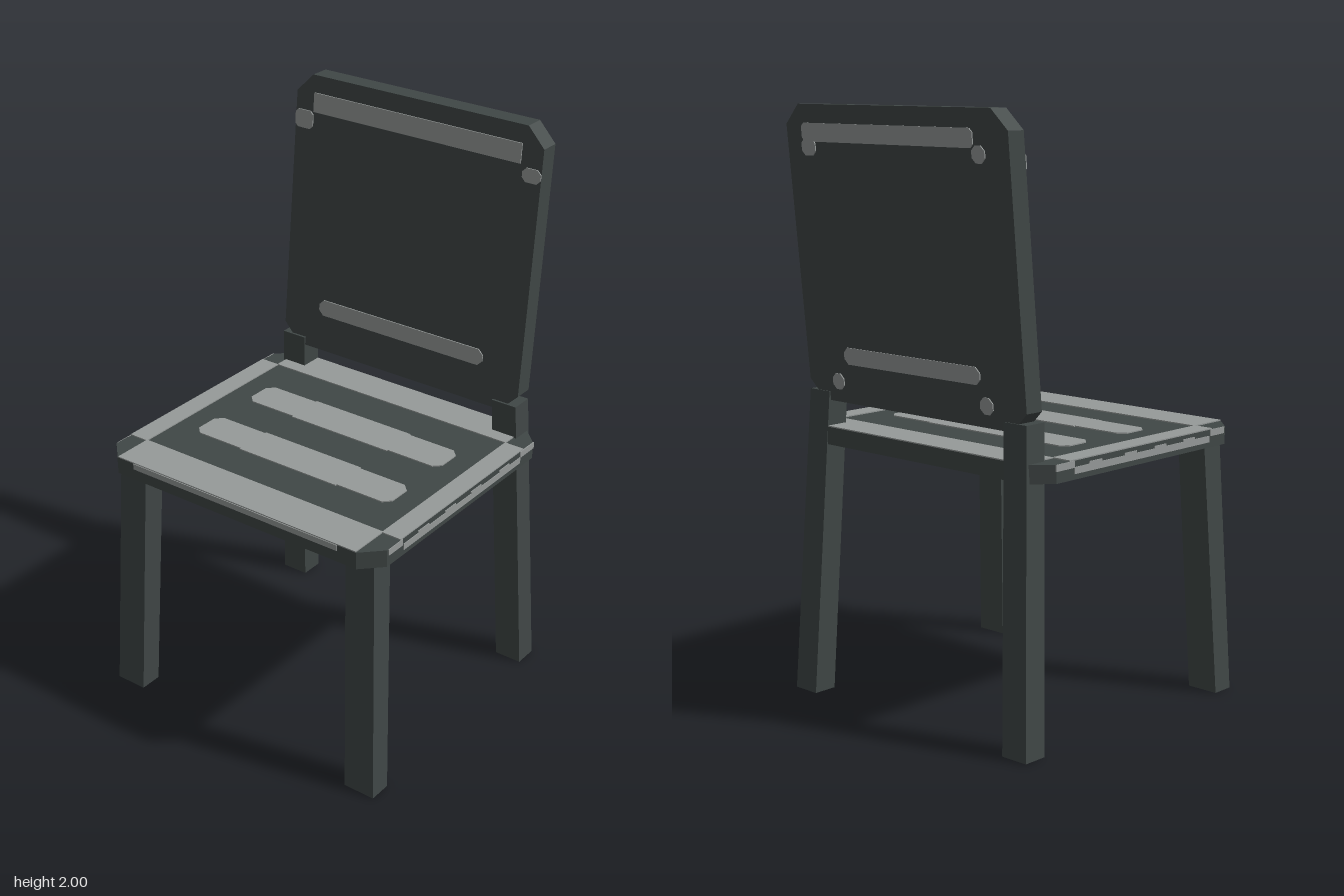
import * as THREE from 'three';

const charcoal = new THREE.MeshStandardMaterial({ color: 0x404746 });
charcoal.name = 'charcoal';
const paleGrey = new THREE.MeshStandardMaterial({ color: 0x969a99 });
paleGrey.name = 'pale grey';

const PLATE = 0.004;
const SEAT_TOP = 0.93, SEAT_BOTTOM = 0.87;

// Rectangle with its four corners cut off at 45 degrees, extruded along +z
function cutSlab(x0, y0, x1, y1, cut, depth) {
  const p = cut > 0
    ? [[x0 + cut, y0], [x1 - cut, y0], [x1, y0 + cut], [x1, y1 - cut],
       [x1 - cut, y1], [x0 + cut, y1], [x0, y1 - cut], [x0, y0 + cut]]
    : [[x0, y0], [x1, y0], [x1, y1], [x0, y1]];
  const shape = new THREE.Shape(p.map(([x, y]) => new THREE.Vector2(x, y)));
  return new THREE.ExtrudeGeometry(shape, { depth, bevelEnabled: false });
}

function add(parent, name, geometry, material) {
  const mesh = new THREE.Mesh(geometry, material);
  mesh.name = name;
  parent.add(mesh);
  return mesh;
}

// Slanted square post running between two horizontal rectangles [x0, x1, z0, z1]
function post(bottom, top, y0, y1, side) {
  const g = new THREE.BoxGeometry(1, 1, 1);
  const pos = g.attributes.position;
  for (let i = 0; i < pos.count; i++) {
    const r = pos.getY(i) > 0 ? top : bottom;
    const outer = pos.getX(i) * side > 0;
    pos.setXYZ(i, side * (outer ? r[1] : r[0]), pos.getY(i) > 0 ? y1 : y0, pos.getZ(i) > 0 ? r[3] : r[2]);
  }
  g.computeVertexNormals();
  return g;
}

function makeLegs() {
  const legs = new THREE.Group();
  legs.name = 'legs';
  for (const [side, label] of [[1, 'left'], [-1, 'right']]) {
    add(legs, label + 'FrontLeg',
      post([0.445, 0.56, 0.445, 0.525], [0.415, 0.525, 0.4, 0.485], 0, SEAT_BOTTOM + 0.01, side), charcoal);
    add(legs, label + 'BackLeg',
      post([0.44, 0.54, -0.495, -0.41], [0.4, 0.495, -0.445, -0.365], 0, 1.05, side), charcoal);
  }
  return legs;
}

function makeSeat() {
  const seat = new THREE.Group();
  seat.name = 'seat';
  const flat = (x0, z0, x1, z1, cut, top, depth) =>
    cutSlab(x0, z0, x1, z1, cut, depth).rotateX(Math.PI / 2).translate(0, top, 0);

  add(seat, 'seatPanel', flat(-0.56, -0.45, 0.56, 0.535, 0.068, SEAT_TOP, SEAT_TOP - SEAT_BOTTOM), charcoal);

  // Pale border and stripes on the top
  const top = (name, x0, z0, x1, z1, cut = 0) =>
    add(seat, name, flat(x0, z0, x1, z1, cut, SEAT_TOP + PLATE, PLATE), paleGrey);
  top('frontBorder', -0.49, 0.39, 0.49, 0.535);
  top('backBorder', -0.49, -0.45, 0.49, -0.32);
  top('leftBorder', 0.488, -0.32, 0.56, 0.395);
  top('rightBorder', -0.56, -0.32, -0.488, 0.395);
  for (const z of [-0.105, 0.18]) {
    top('seatStripe', -0.405, z - 0.065, 0.405, z + 0.065, 0.025);
    for (const s of [-1, 1]) {
      const edge = z + s * 0.068;
      top('seatStripeSwell', -0.2, edge - 0.003, 0.2, edge + 0.003);
    }
  }

  // Pale line along the front edge
  add(seat, 'frontEdgeLine', cutSlab(-0.42, 0.91, 0.42, SEAT_TOP, 0, PLATE).translate(0, 0, 0.535 - 0.001), paleGrey);

  // Pale line with small teeth along each side edge
  for (const s of [-1, 1]) {
    const edge = (name, z0, z1, y0, y1) => {
      const g = new THREE.BoxGeometry(PLATE, y1 - y0, z1 - z0);
      add(seat, name, g.translate(s * 0.5605, (y0 + y1) / 2, (z0 + z1) / 2), paleGrey);
    };
    edge('sideEdgeLine', -0.3, 0.38, 0.888, 0.91);
    edge('sideEdgeFrontEnd', 0.385, 0.46, 0.908, SEAT_TOP);
    edge('sideEdgeBackEnd', -0.385, -0.3, 0.908, SEAT_TOP);
    for (const z of [0.27, 0.12, -0.03, -0.2]) edge('sideEdgeTooth', z - 0.03, z + 0.03, 0.91, 0.918);
  }
  return seat;
}

function makeBackrest() {
  const back = new THREE.Group();
  back.name = 'backrest';
  const DEPTH = 0.068;
  // Lean: push each level back in proportion to its height
  const lean = new THREE.Matrix4().set(
    1, 0, 0, 0,
    0, 1, 0, 0,
    0, -0.098, 1, 0.098 * 1.02 - 0.37,
    0, 0, 0, 1);
  const slab = (name, x0, y0, x1, y1, cut, z, depth, material) =>
    add(back, name, cutSlab(x0, y0, x1, y1, cut, depth).translate(0, 0, z).applyMatrix4(lean), material);

  slab('backPanel', -0.495, 1.02, 0.495, 2, 0.065, -DEPTH, DEPTH, charcoal);

  // Pale marks on the front
  const front = (name, x0, y0, x1, y1, cut) => slab(name, x0, y0, x1, y1, cut, 0, PLATE, paleGrey);
  front('frontTopStripe', -0.42, 1.873, 0.415, 1.94, 0);
  front('frontBottomStripe', -0.345, 1.153, 0.345, 1.21, 0.018);
  front('frontRightPatch', -0.495, 1.81, -0.42, 1.873, 0.012);
  front('frontLeftPatch', 0.425, 1.818, 0.495, 1.865, 0.014);

  // Pale marks on the rear
  const rear = (name, x0, y0, x1, y1, cut) => slab(name, x0, y0, x1, y1, cut, -DEPTH - PLATE, PLATE, paleGrey);
  rear('rearTopStripe', -0.35, 1.88, 0.42, 1.94, 0.012);
  rear('rearBottomStripe', -0.31, 1.153, 0.31, 1.21, 0.018);
  rear('rearLeftPatch', 0.36, 1.835, 0.425, 1.89, 0.015);
  for (const [x, y] of [[-0.37, 1.862], [0.35, 1.09], [-0.33, 1.09]]) {
    rear('rearDot', x - 0.027, y - 0.027, x + 0.027, y + 0.027, 0.016);
  }
  return back;
}

export function createModel() {
  const chair = new THREE.Group();
  chair.name = 'chair';
  chair.add(makeLegs(), makeSeat(), makeBackrest());
  return chair;
}
